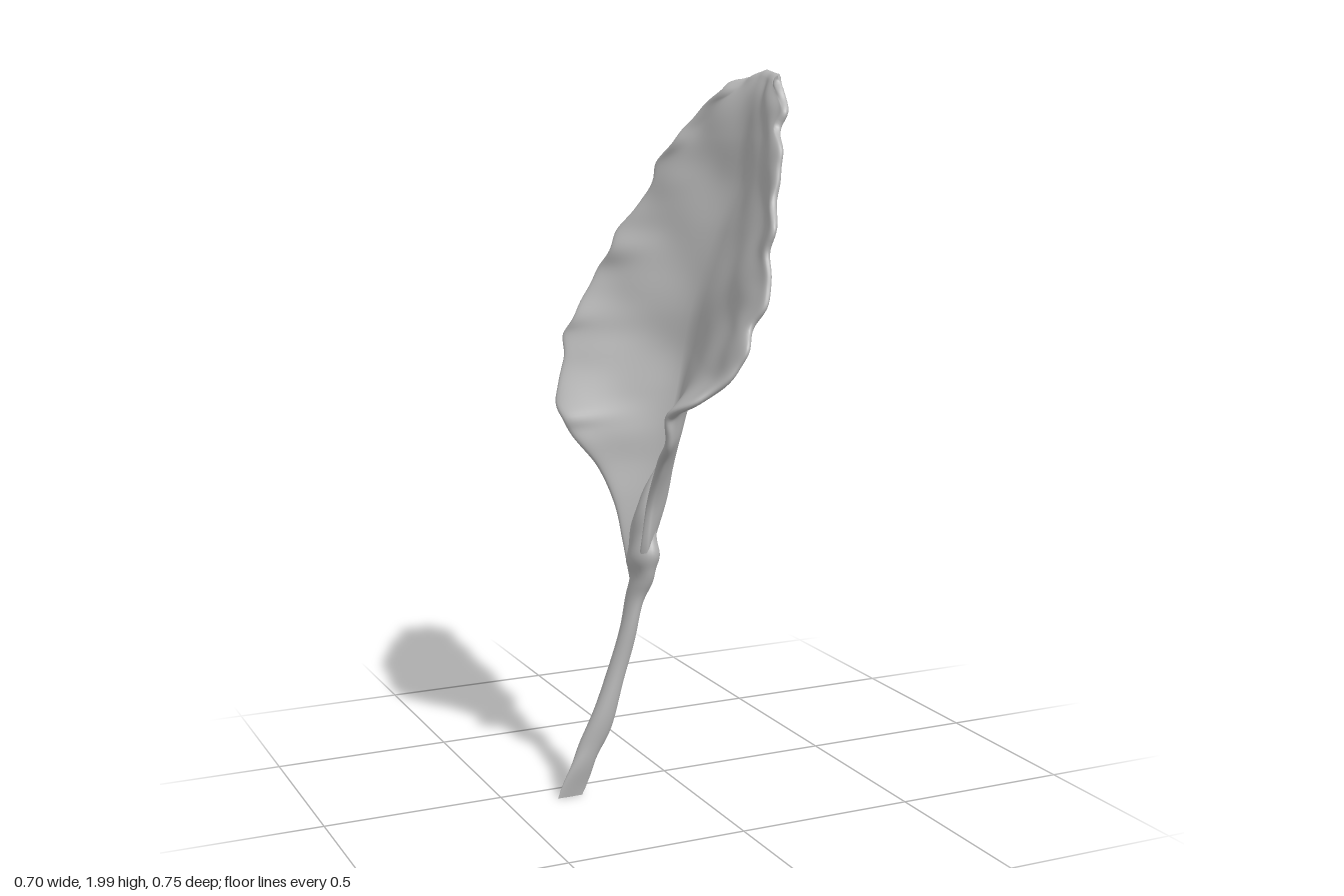
import * as THREE from 'three';

const curve = (pts) => new THREE.CatmullRomCurve3(pts.map((p) => new THREE.Vector3(...p)), false, 'catmullrom', 0.5);

// The two rims and the midrib of the blade, from the stem to the tip
const nearRim = curve([
  [-0.12, 0.60, 0.09], [-0.115, 0.70, 0.115], [-0.10, 0.82, 0.115], [-0.095, 0.92, 0.16], [-0.10, 1.00, 0.225],
  [-0.10, 1.09, 0.26], [0.0, 1.17, 0.355], [0.08, 1.28, 0.36], [0.13, 1.40, 0.335], [0.18, 1.53, 0.295],
  [0.22, 1.67, 0.24], [0.26, 1.80, 0.185], [0.29, 1.90, 0.125], [0.315, 1.975, 0.085],
]);
const midrib = curve([
  [-0.09, 0.60, 0.06], [-0.075, 0.70, 0.06], [-0.03, 0.82, 0.05], [0.0, 0.92, 0.03], [0.028, 1.02, 0.02],
  [0.06, 1.12, 0.01], [0.088, 1.22, 0], [0.113, 1.33, 0], [0.145, 1.43, 0], [0.19, 1.55, 0],
  [0.24, 1.68, 0], [0.265, 1.81, -0.01], [0.295, 1.92, -0.02], [0.34, 1.995, -0.05],
]);
const farRim = curve([
  [-0.12, 0.60, 0.03], [-0.13, 0.70, 0.005], [-0.14, 0.80, -0.03], [-0.17, 0.90, -0.08], [-0.23, 0.99, -0.13],
  [-0.24, 1.07, -0.19], [-0.195, 1.19, -0.295], [-0.13, 1.30, -0.34], [-0.04, 1.43, -0.36], [0.03, 1.55, -0.345],
  [0.10, 1.68, -0.32], [0.16, 1.80, -0.27], [0.23, 1.90, -0.19], [0.29, 1.965, -0.13],
]);

// Point on the blade's middle surface: u runs up the leaf, s from the far rim (-1) to the near rim (1)
function bladePoint(u, s) {
  u = THREE.MathUtils.clamp(u, 0, 1);
  const mid = midrib.getPoint(u);
  const rim = (s > 0 ? nearRim : farRim).getPoint(u);
  const a = Math.abs(s), side = s > 0 ? 1 : 2.3;
  const full = THREE.MathUtils.smoothstep(u, 0.2, 0.5);
  // Scalloped outline
  const scallop = 0.012 * full * a ** 4 * (Math.sin(u * 62 + side) + 0.5 * Math.sin(u * 103 + side * 3));
  // Soft wrinkles that run out along the side veins
  const wrinkle = full * a * (0.007 * Math.sin(u * 42 - a * 7 + side) + 0.005 * Math.sin(u * 23 + a * 11 + side * 2));
  return new THREE.Vector3(
    THREE.MathUtils.lerp(mid.x, rim.x, a ** 1.35) + wrinkle,
    THREE.MathUtils.lerp(mid.y, rim.y, a),
    THREE.MathUtils.lerp(mid.z, rim.z, a) + Math.sign(s) * scallop,
  );
}

// Skins a closed tube over rings of points
function skin(rows, ring, pointAt) {
  const pos = [], index = [];
  for (let i = 0; i <= rows; i++) {
    for (let j = 0; j < ring; j++) {
      pos.push(...pointAt(i / rows, (j / ring) * Math.PI * 2).toArray());
      if (i === rows) continue;
      const k = (j + 1) % ring, a = i * ring + j, b = i * ring + k;
      index.push(a, a + ring, b, b, a + ring, b + ring);
    }
  }
  const geo = new THREE.BufferGeometry();
  geo.setAttribute('position', new THREE.Float32BufferAttribute(pos, 3));
  geo.setIndex(index);
  geo.computeVertexNormals();
  return geo;
}

// Blade: the middle surface thickened, with a rounded rim
function bladeGeometry() {
  const e = 0.004;
  return skin(150, 72, (u, angle) => {
    const s = Math.cos(angle);
    const p = bladePoint(u, s);
    const along = bladePoint(u + e, s).sub(bladePoint(u - e, s));
    const across = bladePoint(u, Math.min(1, s + 0.02)).sub(bladePoint(u, Math.max(-1, s - 0.02)));
    const normal = along.cross(across).normalize();
    const round = Math.tanh(Math.sin(angle) * 4);
    const end = Math.sqrt(Math.min(1, (1 - u) * 45));
    return p.addScaledVector(normal, 0.013 * round * end);
  });
}

// Stem: centre line, and half widths in x and z that narrow to a wedge at the foot
const stemLine = curve([
  [-0.323, 0.005, 0.075], [-0.28, 0.10, 0.072], [-0.23, 0.20, 0.068], [-0.165, 0.38, 0.067], [-0.125, 0.52, 0.06],
  [-0.1, 0.60, 0.06], [-0.095, 0.66, 0.063], [-0.088, 0.73, 0.055], [-0.07, 0.82, 0.05], [-0.03, 0.92, 0.035],
]);
const stemWidth = curve([
  [0.036, 0, 0.001], [0.036, 0, 0.017], [0.036, 0, 0.026], [0.026, 0, 0.024], [0.024, 0, 0.032],
  [0.03, 0, 0.046], [0.04, 0, 0.062], [0.034, 0, 0.052], [0.026, 0, 0.035], [0.004, 0, 0.004],
]);

function stemGeometry() {
  return skin(70, 24, (t, angle) => {
    const w = stemWidth.getPoint(t);
    const lump = 1 + 0.06 * Math.sin(t * 40 + 2 * Math.sin(angle));
    return stemLine.getPoint(t).add(new THREE.Vector3(Math.cos(angle) * w.x * lump, 0, -Math.sin(angle) * w.z * lump));
  });
}

export function createModel() {
  const group = new THREE.Group();
  group.name = 'leaf';
  const grey = new THREE.MeshStandardMaterial({ color: 0xb4b4b4, side: THREE.DoubleSide });
  grey.name = 'plain grey';
  const add = (name, geo) => {
    const mesh = new THREE.Mesh(geo, grey);
    mesh.name = name;
    group.add(mesh);
  };
  add('blade', bladeGeometry());
  add('stem', stemGeometry());
  return group;
}
